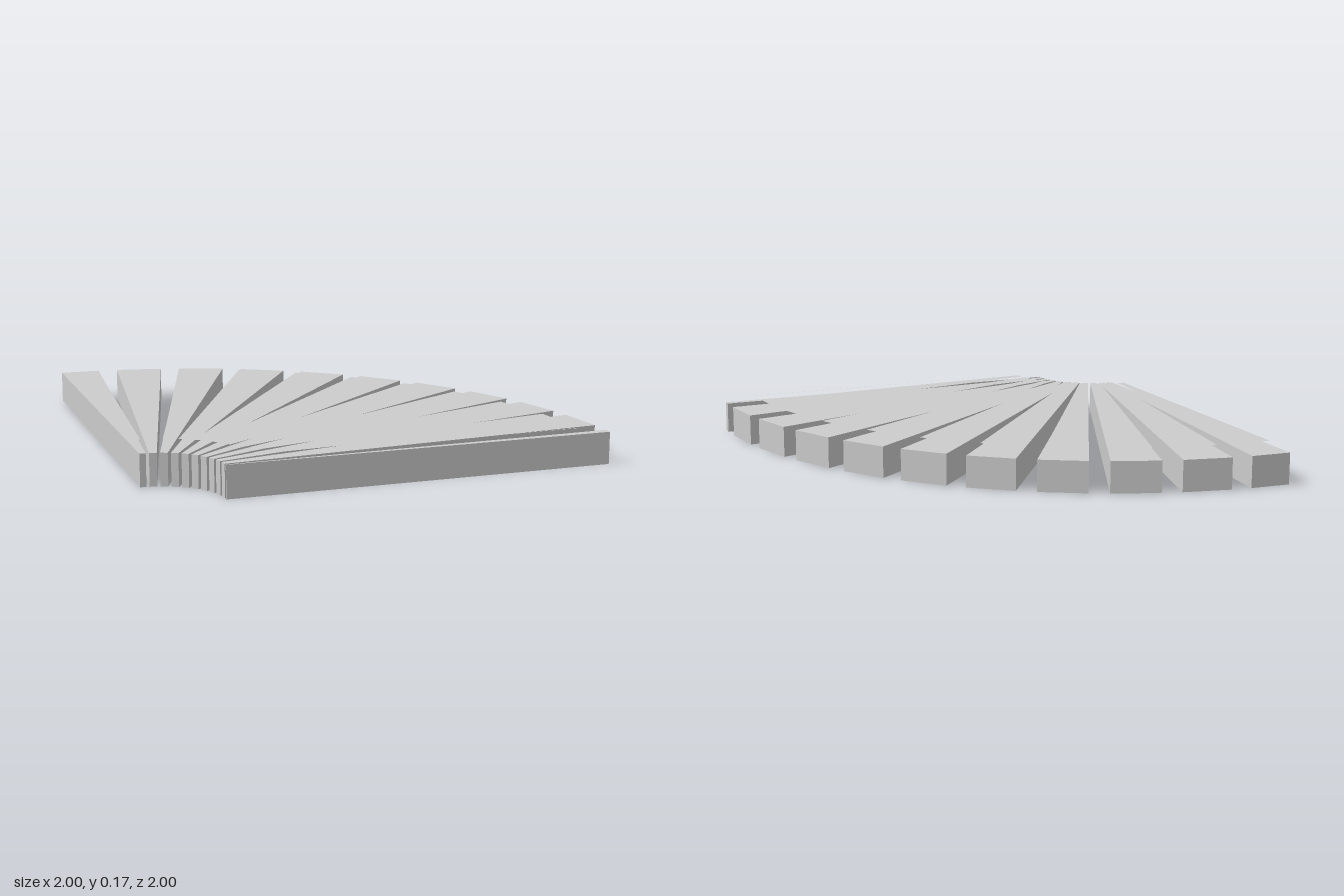
import * as THREE from 'three';

// Flat-ended wedge outline between two radii and two angles (degrees)
function wedge(r0, r1, a0, a1) {
  const at = (r, deg) => {
    const a = THREE.MathUtils.degToRad(deg);
    return new THREE.Vector2(r * Math.cos(a), r * Math.sin(a));
  };
  return new THREE.Shape([at(r0, a0), at(r1, a0), at(r1, a1), at(r0, a1)]);
}

export function createModel() {
  const group = new THREE.Group();
  group.name = 'fan';
  const grey = new THREE.MeshStandardMaterial({ color: 0xcccccc, side: THREE.DoubleSide });
  grey.name = 'light grey';

  const height = 0.143, sheetGap = 0.024;
  const step = 9, first = -5.3, width = 6.37, inset = 0.48;
  const add = (name, geometry, y) => {
    const mesh = new THREE.Mesh(geometry.rotateX(-Math.PI / 2), grey);
    mesh.name = name;
    mesh.position.set(-1, y, 1); // the fan's hub is at the front right corner
    group.add(mesh);
  };

  // Eleven slats over a quarter turn, the two end ones cut off at the straight sides
  for (let i = 0; i <= 10; i++) {
    const a0 = Math.max(0, first + i * step);
    const a1 = Math.min(90, first + i * step + width);
    const slat = wedge(0.286, 2, a0, a1);
    add(`slat${i + 1}`, new THREE.ExtrudeGeometry(slat, { depth: height, bevelEnabled: false }), 0);
    // Narrower sheet without thickness, hovering just above the slat
    const sheet = wedge(0.4286, 1.857, a0 + inset, a1 - inset);
    add(`topSheet${i + 1}`, new THREE.ShapeGeometry(sheet), height + sheetGap);
  }
  return group;
}
